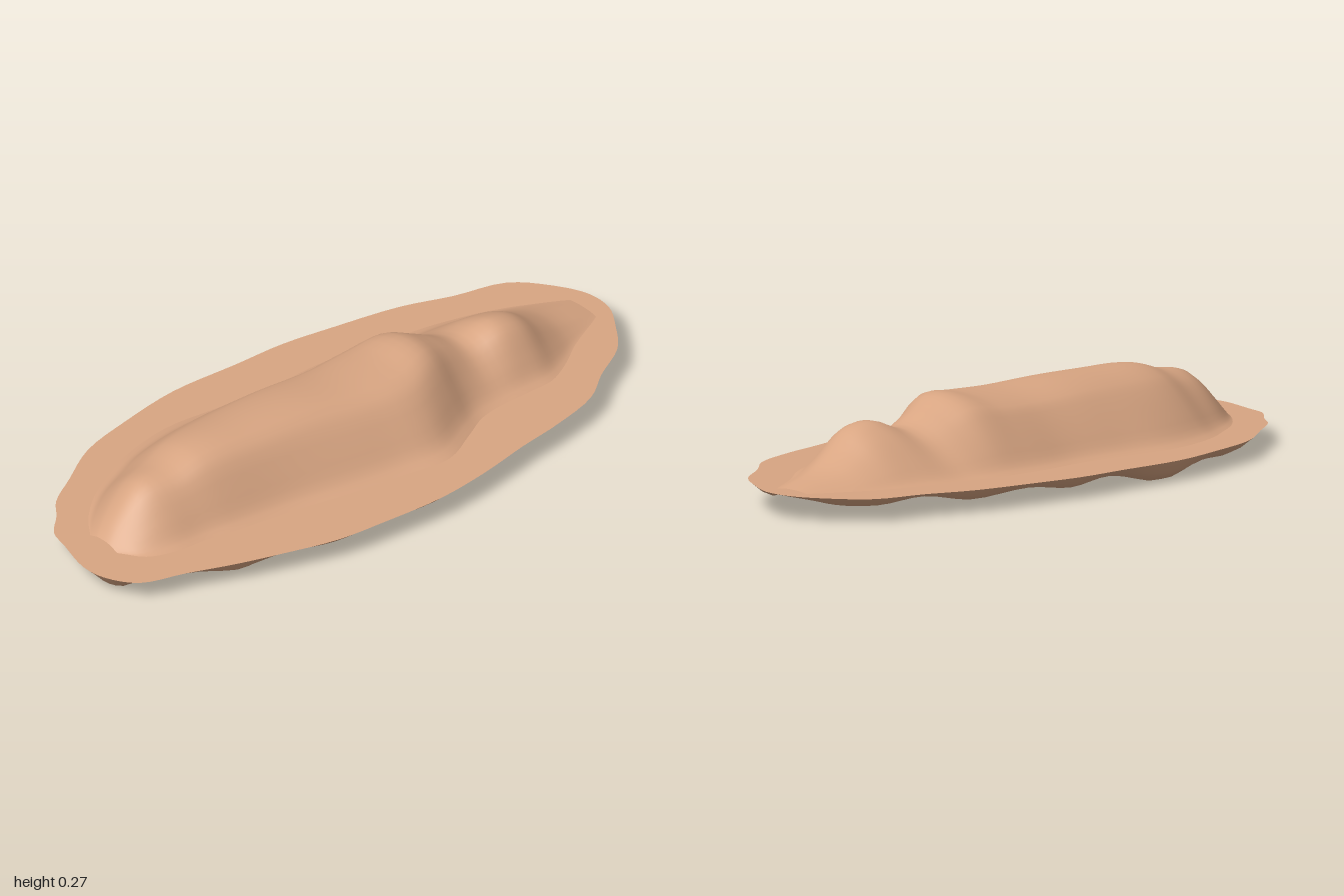
import * as THREE from 'three';

// outline of the slab, clockwise from above: x, z, depth of the ragged rim
const RIM = [
  [0.04, -1.0, 0.012], [0.13, -0.95, 0.03], [0.22, -0.88, 0.022], [0.29, -0.76, 0.018], [0.36, -0.66, 0.035],
  [0.4, -0.5, 0.022], [0.42, -0.35, 0.034], [0.45, -0.18, 0.022], [0.465, 0, 0.034], [0.45, 0.2, 0.022],
  [0.43, 0.36, 0.032], [0.38, 0.52, 0.022], [0.33, 0.66, 0.05], [0.27, 0.8, 0.02], [0.22, 0.93, 0.016],
  [0.13, 0.99, 0.055], [0.05, 1.0, 0.022], [-0.07, 0.97, 0.015], [-0.14, 0.95, 0.028], [-0.2, 0.89, 0.026],
  [-0.26, 0.84, 0.014], [-0.32, 0.74, 0.016], [-0.4, 0.6, 0.034], [-0.44, 0.42, 0.03], [-0.465, 0.22, 0.056],
  [-0.45, 0, 0.022], [-0.44, -0.17, 0.034], [-0.41, -0.33, 0.02], [-0.36, -0.55, 0.032], [-0.3, -0.7, 0.014],
  [-0.25, -0.86, 0.025], [-0.15, -0.95, 0.025], [-0.05, -1.0, 0.012],
];

// mound sections: z, left foot, crest left, crest right, right foot, crest height
const MOUND = [
  [0.88, -0.07, -0.03, 0.02, 0.07, 0.08], [0.83, -0.13, -0.05, 0.02, 0.13, 0.13],
  [0.74, -0.2, -0.07, 0.03, 0.16, 0.205], [0.64, -0.25, -0.09, 0.05, 0.17, 0.222],
  [0.54, -0.29, -0.11, 0.06, 0.19, 0.25], [0.36, -0.32, -0.12, 0.08, 0.22, 0.254],
  [0.18, -0.3, -0.12, 0.1, 0.26, 0.254], [0, -0.28, -0.11, 0.13, 0.29, 0.245],
  [-0.15, -0.28, -0.11, 0.14, 0.31, 0.25], [-0.27, -0.27, -0.1, 0.1, 0.26, 0.263],
  [-0.36, -0.26, -0.08, 0.07, 0.22, 0.225], [-0.45, -0.24, -0.06, 0.07, 0.21, 0.187],
  [-0.55, -0.22, -0.03, 0.09, 0.21, 0.218], [-0.63, -0.2, -0.03, 0.09, 0.21, 0.203],
  [-0.71, -0.18, -0.04, 0.07, 0.18, 0.15], [-0.8, -0.15, -0.04, 0.05, 0.13, 0.105],
  [-0.94, -0.08, -0.03, 0.03, 0.07, 0.072],
];

const V = (x, y, z) => new THREE.Vector3(x, y, z);
const ground = (x, z) => 0.067 + 0.014 * x - 0.006 * z;

// skin between rows of points
function skin(rows, name, material) {
  const n = rows[0].length, index = [];
  for (let i = 0; i < rows.length - 1; i++) {
    for (let j = 0; j < n - 1; j++) {
      const a = i * n + j, b = a + 1, d = a + n, c = d + 1;
      index.push(a, d, c, a, c, b);
    }
  }
  const geometry = new THREE.BufferGeometry().setFromPoints(rows.flat());
  geometry.setIndex(index);
  geometry.computeVertexNormals();
  const mesh = new THREE.Mesh(geometry, material);
  mesh.name = name;
  return mesh;
}

export function createModel() {
  const group = new THREE.Group();
  group.name = 'earthMound';
  const earth = new THREE.MeshStandardMaterial({ color: 0xd8a582 });
  earth.name = 'clay earth';

  // slab: rings scaled in from the outline, sides inset more than the ends
  const rim = new THREE.CatmullRomCurve3(RIM.map(([x, z, d]) => V(x, d, z)), true).getPoints(132);
  const ring = (inset, height) => rim.map((p) => {
    const x = p.x * (1 - inset), z = p.z * (1 - inset * 0.5);
    return V(x, Math.max(0, ground(x, z) + height(p)), z);
  });
  const edge = ring(0, () => 0);
  const shelf = ring(0.32, () => -0.008);
  group.add(skin([edge, ring(0.5, () => 0), ring(1, () => 0).map(() => V(0, ground(0, 0), 0))], 'slabTop', earth));
  group.add(skin([
    shelf,
    ring(0.22, (p) => -0.008 - p.y * 0.45),
    ring(0.12, (p) => -p.y * 1.15),
    ring(0.05, (p) => -p.y * 0.65),
    edge,
  ], 'raggedRim', earth));
  group.add(skin([rim.map(() => V(0, ground(0, 0) - 0.008, 0)), shelf], 'slabUnderside', earth));

  // mound: smooth cross-sections with flared feet, joined from back to front
  const sections = [...MOUND].reverse().map(([z, l, a, b, r, h]) => {
    const at = (x, f) => V(x, ground(x, z) - 0.003 + f * (h - 0.064), z);
    return new THREE.CatmullRomCurve3([
      at(l * 1.08, 0), at(l * 0.88 + a * 0.12, 0.09), at(l * 0.6 + a * 0.4, 0.36), at(l * 0.28 + a * 0.72, 0.66),
      at(a, 0.86), at((a + b) / 2, 1), at(b, 0.92), at((b + r) / 2, 0.48), at(r * 0.84 + b * 0.16, 0.13),
      at(r * 1.08, 0),
    ]).getPoints(27);
  });
  const lengthwise = sections[0].map((_, j) =>
    new THREE.CatmullRomCurve3(sections.map((s) => s[j])).getPoints(64));
  group.add(skin(lengthwise[0].map((_, i) => lengthwise.map((c) => c[i])), 'mound', earth));

  return group;
}
